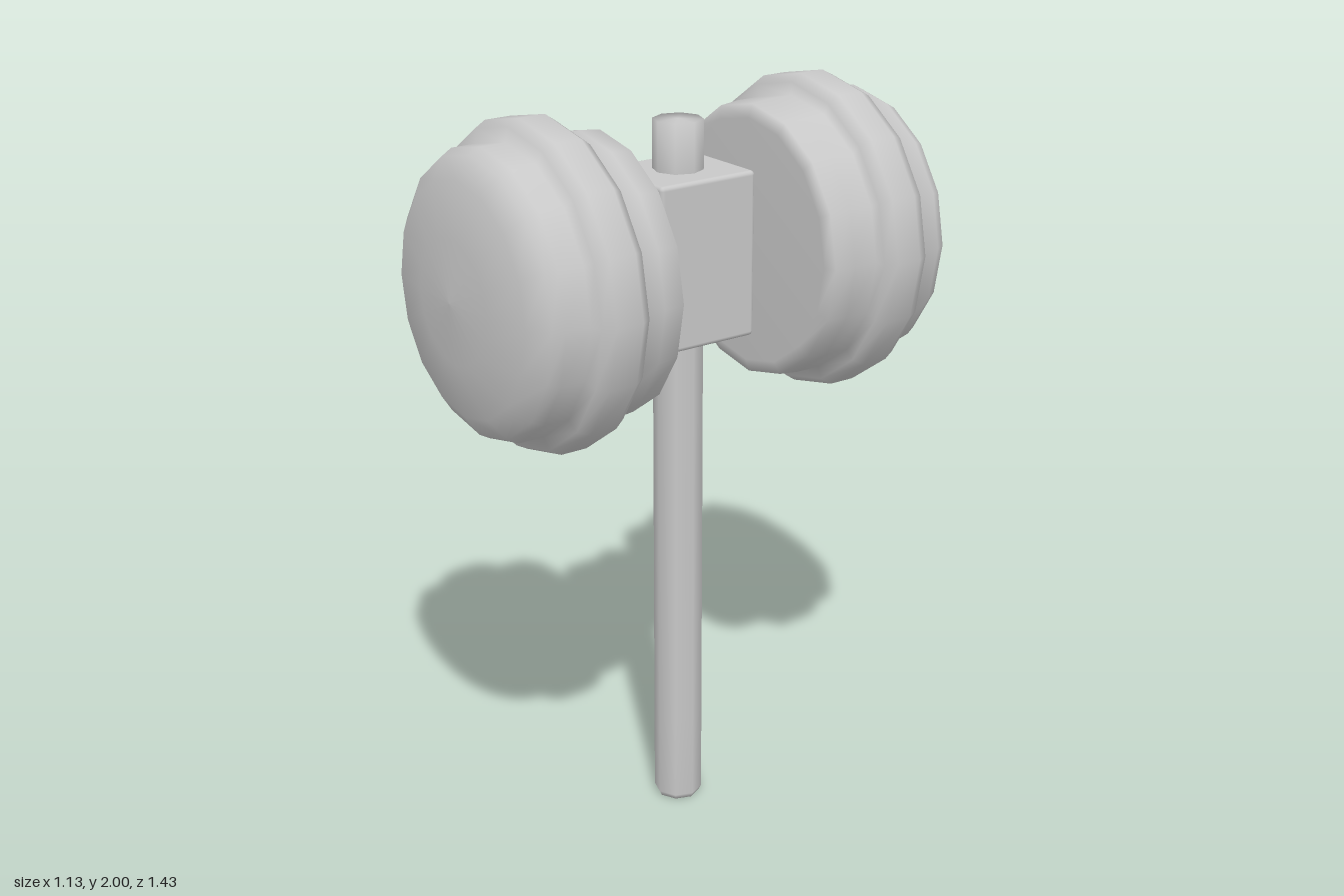
import * as THREE from 'three';
import { RoundedBoxGeometry } from 'three/addons/geometries/RoundedBoxGeometry.js';

const grey = new THREE.MeshStandardMaterial({ name: 'plain grey', color: 0xc8c8c8 });

// Revolve a [radius, height] profile with smooth normals
function lathe(profile, sides, phase = 0) {
  return new THREE.LatheGeometry(profile.map(([r, h]) => new THREE.Vector2(r, h)), sides, phase);
}

function addMesh(parent, name, geometry) {
  const mesh = new THREE.Mesh(geometry, grey);
  mesh.name = name;
  parent.add(mesh);
  return mesh;
}

export function createModel() {
  const model = new THREE.Group();
  model.name = 'mallet';

  // Eight-sided handle passing through the block
  addMesh(model, 'handle', lathe(
    [[0, 0], [0.058, 0], [0.066, 0.015], [0.066, 0.25], [0.066, 1.8], [0.066, 1.935], [0, 1.935]],
    8, Math.PI / 8));

  // Head, turned about the handle
  const head = new THREE.Group();
  head.name = 'head';
  head.position.y = 1.575;
  head.rotation.y = -0.435;
  model.add(head);

  const block = addMesh(head, 'centreBlock', new RoundedBoxGeometry(0.265, 0.44, 0.297, 2, 0.012));
  block.position.y = 0.01;

  // Drum profile: flat inner face, raised band, domed outer face
  const drum = lathe([
    [0, 0.228], [0.33, 0.228], [0.365, 0.24], [0.371, 0.3], [0.371, 0.37],
    [0.405, 0.37], [0.425, 0.4], [0.425, 0.475], [0.408, 0.508],
    [0.371, 0.515], [0.371, 0.585], [0.355, 0.615], [0.3, 0.655], [0.16, 0.678], [0, 0.688],
  ], 16);
  drum.rotateX(Math.PI / 2);
  drum.scale(0.95, 1, 1);

  // Matching drums front and back
  ['frontDrum', 'backDrum'].forEach((name, i) => {
    addMesh(head, name, drum).rotation.y = i * Math.PI;
  });

  return model;
}
